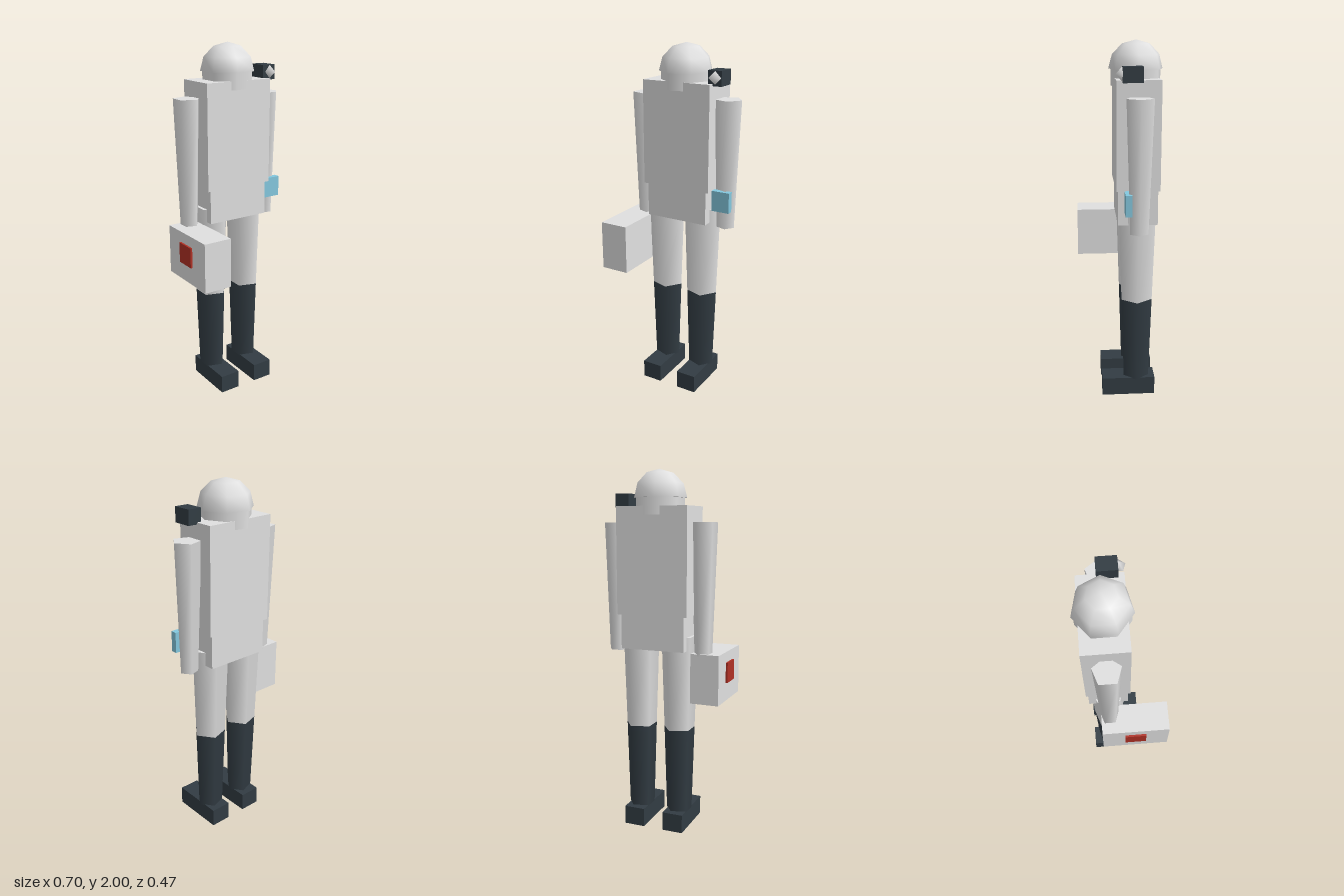
import * as THREE from 'three';

const paint = (name, color) => {
  const m = new THREE.MeshStandardMaterial({ color });
  m.name = name;
  return m;
};

export function createModel() {
  const model = new THREE.Group();
  model.name = 'figure';
  const white = paint('suit white', 0xe0e0e0);
  const dark = paint('boot dark', 0x323c43);
  const blue = paint('panel blue', 0x84c8de);
  const red = paint('badge red', 0xb03024);

  const Z = -0.09; // body axis depth

  const add = (name, geometry, material, x, y, z) => {
    const mesh = new THREE.Mesh(geometry, material);
    mesh.name = name;
    mesh.position.set(x, y, z);
    model.add(mesh);
    return mesh;
  };

  // Box given by its lower and upper corner
  const box = (name, material, [x0, y0, z0], [x1, y1, z1]) =>
    add(name, new THREE.BoxGeometry(x1 - x0, y1 - y0, z1 - z0), material,
      (x0 + x1) / 2, (y0 + y1) / 2, (z0 + z1) / 2);

  // Tapered prism with one corner towards +x
  const limb = (name, material, x, y0, y1, r0, r1, sides = 5) => {
    const g = new THREE.CylinderGeometry(r1, r0, y1 - y0, sides);
    g.rotateY(Math.PI / 2);
    return add(name, g, material, x, (y0 + y1) / 2, Z);
  };

  // Head and helmet
  limb('head', white, 0.02, 1.76, 1.86, 0.138, 0.138, 7);
  const dome = new THREE.SphereGeometry(0.15, 7, 3, 0, Math.PI * 2, 0, Math.PI / 2);
  dome.rotateY(Math.PI);
  add('helmet', dome, white, 0.02, 1.85, Z);
  const brim = new THREE.CircleGeometry(0.15, 7);
  brim.rotateX(Math.PI / 2);
  add('helmetUnderside', brim, white, 0.02, 1.85, Z);

  // Torso and hips
  box('torso', white, [-0.185, 1.225, -0.208], [0.222, 1.805, 0.027]);
  box('hips', white, [-0.165, 1.035, -0.198], [0.203, 1.225, 0.017]);

  // Arms
  for (const [side, x] of [['right', -0.238], ['left', 0.277]]) {
    limb(side + 'Arm', white, x, 1.01, 1.72, 0.051, 0.075);
  }

  // Legs, boots and feet
  for (const [side, x] of [['right', -0.098], ['left', 0.136]]) {
    limb(side + 'Leg', white, x, 0.585, 1.11, 0.09, 0.107);
    limb(side + 'Boot', dark, x, 0.1, 0.585, 0.075, 0.09);
    box(side + 'Foot', dark, [x - 0.059, 0, -0.195], [x + 0.059, 0.105, 0.107]);
  }

  // Forearm panel
  box('forearmPanel', blue, [0.224, 1.115, -0.05], [0.328, 1.23, -0.015]);

  // Shoulder lamp
  box('lampHousing', dark, [0.195, 1.795, -0.108], [0.274, 1.875, -0.003]);
  const bulb = new THREE.SphereGeometry(0.035, 5, 2);
  bulb.rotateY(Math.PI);
  add('lampBulb', bulb, white, 0.238, 1.838, 0);

  // Carried case with badge
  box('carryCase', white, [-0.342, 0.743, -0.137], [-0.18, 1.02, 0.235]);
  box('caseBadge', red, [-0.353, 0.846, -0.01], [-0.342, 0.96, 0.107]);

  return model;
}
